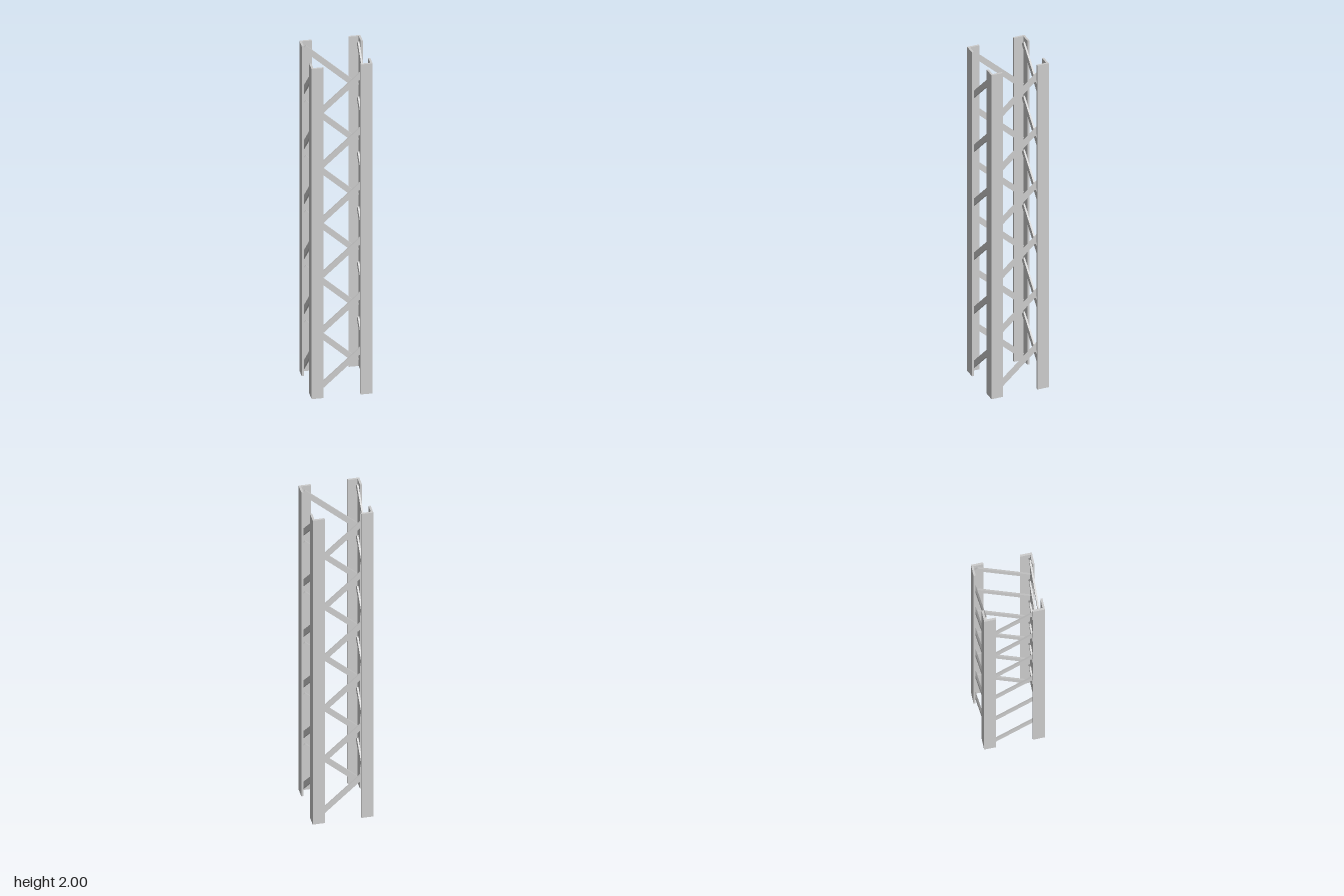
import * as THREE from 'three';

const HEIGHT = 2;
const HALF = 1 / 6;        // half of the outer width
const FLANGE = 0.066;      // leg length of the angle profile
const THICK = 0.0115;      // angle profile thickness
const PANELS = 6;
const BRACE = { run: 0.29, rise: 0.264, width: 0.031, depth: 0.0095 };

export function createModel() {
  const model = new THREE.Group();
  model.name = 'latticeTower';
  const material = new THREE.MeshStandardMaterial({ color: 0xcccccc, flatShading: true });

  // L-shaped profile with its outer corner at (+HALF, -HALF), extruded upwards
  const o = HALF, i = HALF - THICK, f = HALF - FLANGE;
  const profile = new THREE.Shape(
    [[o, -o], [o, -f], [i, -f], [i, -i], [f, -i], [f, -o]].map(([x, y]) => new THREE.Vector2(x, y))
  );
  const legGeometry = new THREE.ExtrudeGeometry(profile, { depth: HEIGHT, bevelEnabled: false });
  legGeometry.rotateX(-Math.PI / 2);

  // Flat diagonal bar lying against the inner face of the flanges
  const braceGeometry = new THREE.BoxGeometry(Math.hypot(BRACE.run, BRACE.rise), BRACE.width, BRACE.depth);
  braceGeometry.rotateZ(Math.atan2(BRACE.rise, BRACE.run));
  braceGeometry.translate(0, 0, i - BRACE.depth / 2);

  // Each side: one corner leg and one diagonal per panel, turned by quarter steps
  ['front', 'left', 'back', 'right'].forEach((name, k) => {
    const side = new THREE.Group();
    side.name = name + 'Side';
    side.rotation.y = k * Math.PI / 2;

    const leg = new THREE.Mesh(legGeometry, material);
    leg.name = 'cornerLeg';
    side.add(leg);

    for (let p = 0; p < PANELS; p++) {
      const brace = new THREE.Mesh(braceGeometry, material);
      brace.name = 'diagonalBrace';
      brace.position.y = (p + 0.5) * HEIGHT / PANELS;
      side.add(brace);
    }
    model.add(side);
  });

  return model;
}
